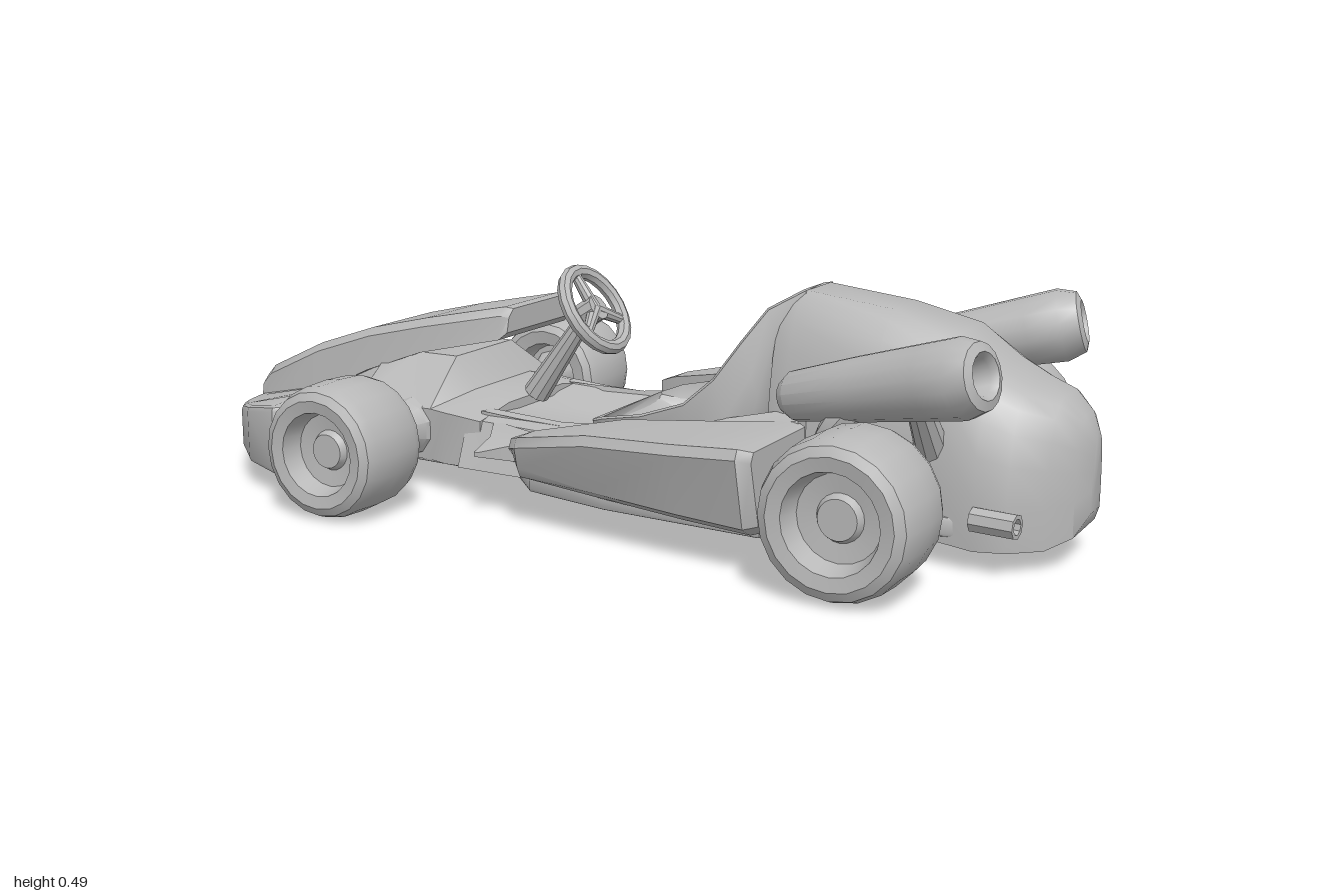
import * as THREE from 'three';
import { toCreasedNormals, mergeVertices } from 'three/addons/utils/BufferGeometryUtils.js';

const grey = new THREE.MeshStandardMaterial({ color: 0xb8b8b8, side: THREE.DoubleSide });
grey.name = 'plain grey';

const V = (x, y, z) => new THREE.Vector3(x, y, z);

// Crease the normals and make sure a closed surface faces outwards
function finish(geometry, crease = 0.6) {
  let g = geometry.index ? geometry.toNonIndexed() : geometry;
  const p = g.attributes.position;
  let volume = 0;
  const a = V(), b = V(), c = V();
  for (let i = 0; i < p.count; i += 3) {
    a.fromBufferAttribute(p, i); b.fromBufferAttribute(p, i + 1); c.fromBufferAttribute(p, i + 2);
    volume += a.dot(b.clone().cross(c));
  }
  if (volume < 0) {
    for (let i = 0; i < p.count; i += 3) {
      b.fromBufferAttribute(p, i + 1); c.fromBufferAttribute(p, i + 2);
      p.setXYZ(i + 1, c.x, c.y, c.z);
      p.setXYZ(i + 2, b.x, b.y, b.z);
    }
  }
  g.deleteAttribute('uv');
  g.deleteAttribute('normal');
  g = mergeVertices(g, 1e-5);
  return toCreasedNormals(g, crease);
}

// Closed solid through rings of [x, y, z] points, with end caps
function loft(rings) {
  const pos = [], idx = [], n = rings[0].length;
  rings.forEach(r => r.forEach(q => pos.push(...q)));
  for (let i = 0; i < rings.length - 1; i++) {
    for (let j = 0; j < n; j++) {
      const k = (j + 1) % n, a = i * n + j, b = i * n + k;
      idx.push(a, b, a + n, b, b + n, a + n);
    }
  }
  const end = (rings.length - 1) * n;
  for (let j = 1; j < n - 1; j++) {
    idx.push(0, j + 1, j);
    idx.push(end, end + j, end + j + 1);
  }
  const g = new THREE.BufferGeometry();
  g.setAttribute('position', new THREE.Float32BufferAttribute(pos, 3));
  g.setIndex(idx);
  return g;
}

// Symmetric plan outline of [x, z] points extruded upwards from y0 to y1
function plan(half, y0, y1, bevel, holes = []) {
  const pts = [...half, ...half.slice().reverse().map(([x, z]) => [x, -z])];
  const shape = new THREE.Shape(pts.map(([x, z]) => new THREE.Vector2(x, z)));
  holes.forEach(h => shape.holes.push(new THREE.Path(h.map(([x, z]) => new THREE.Vector2(x, z)))));
  const g = new THREE.ExtrudeGeometry(shape, {
    depth: y1 - y0 - 2 * bevel, bevelEnabled: bevel > 0, bevelSize: bevel,
    bevelThickness: bevel, bevelOffset: -bevel, bevelSegments: 2,
  });
  return g.rotateX(Math.PI / 2).translate(0, y1 - bevel, 0);
}

// Tapered lathe body running from a to b; the profile holds [radius, fraction]
function lathe(profile, a, b, sides = 16) {
  const d = b.clone().sub(a), len = d.length();
  const g = new THREE.LatheGeometry(profile.map(([r, t]) => new THREE.Vector2(r, t * len)), sides);
  g.applyQuaternion(new THREE.Quaternion().setFromUnitVectors(V(0, 1, 0), d.normalize()));
  return g.translate(a.x, a.y, a.z);
}
const rod = (a, b, r, r2 = r) => lathe([[0, 0], [r, 0], [r2, 1], [0, 1]], a, b, 10);

export function createModel() {
  const model = new THREE.Group();
  model.name = 'kart';
  const add = (name, g, crease) => {
    const m = new THREE.Mesh(finish(g, crease), grey);
    m.name = name;
    model.add(m);
  };

  // Flat floor that widens under the side pods
  add('floorPan', plan([[-0.8, 0.13], [-0.66, 0.14], [-0.62, 0.22], [-0.5, 0.21], [-0.32, 0.22], [-0.18, 0.23],
    [-0.1, 0.31], [0.1, 0.35], [0.46, 0.37], [0.5, 0.23], [0.85, 0.17]], 0.068, 0.11, 0.008));

  // Crescent bumper with an opening on each side, sloping down to its tip
  const hole = s => [[-0.755, 0.165 * s], [-0.765, 0.2 * s], [-0.735, 0.25 * s], [-0.685, 0.25 * s], [-0.665, 0.165 * s]];
  const bumper = plan([[-1, 0.06], [-0.975, 0.16], [-0.93, 0.245], [-0.87, 0.32], [-0.79, 0.39], [-0.68, 0.435],
    [-0.645, 0.4], [-0.685, 0.3], [-0.63, 0.265], [-0.6, 0.2]], 0.055, 0.21, 0.012, [hole(1), hole(-1)]);
  const bp = bumper.attributes.position;
  for (let i = 0; i < bp.count; i++) {
    const t = THREE.MathUtils.clamp((bp.getX(i) + 1) / 0.3, 0, 1);
    bp.setY(i, bp.getY(i) + (bp.getY(i) > 0.13 ? -0.07 : 0.018) * (1 - t));
  }
  add('frontBumper', bumper);

  // Long curved hood: [x, top, bottom, half width]
  add('hood', loft([[-0.985, 0.185, 0.12, 0.11], [-0.95, 0.215, 0.13, 0.122], [-0.8, 0.285, 0.17, 0.126],
    [-0.65, 0.335, 0.24, 0.127], [-0.5, 0.37, 0.295, 0.127], [-0.29, 0.413, 0.343, 0.124], [-0.27, 0.41, 0.36, 0.118]]
    .map(([x, t, b, w]) => [[x, b, -w - 0.012], [x, t - 0.018, -w - 0.004], [x, t, -w + 0.015],
      [x, t, w - 0.015], [x, t - 0.018, w + 0.004], [x, b, w + 0.012]])));

  // Sloping front body beneath the hood: [x, top, shoulder, half width]
  add('frontBody', loft([[-0.86, 0.2, 0.16, 0.14], [-0.67, 0.25, 0.18, 0.145], [-0.61, 0.28, 0.19, 0.235],
    [-0.53, 0.29, 0.19, 0.215], [-0.42, 0.29, 0.19, 0.215], [-0.37, 0.22, 0.19, 0.23], [-0.28, 0.2, 0.18, 0.225]]
    .map(([x, t, s, w]) => [[x, 0.075, -w], [x, s, -w], [x, t, -0.11], [x, t, 0.11], [x, s, w], [x, 0.075, w]])));

  // Dished footwell between the front body and the seat: [x, middle height, edge height]
  add('footwell', loft([[-0.3, 0.185, 0.195], [-0.2, 0.155, 0.188], [-0.08, 0.145, 0.185], [0.0, 0.13, 0.17]]
    .map(([x, m, e]) => [[x, 0.08, -0.19], [x, e, -0.19], [x, m, -0.07], [x, m, 0.07], [x, e, 0.19], [x, 0.08, 0.19]])));

  for (const s of [1, -1]) {
    const side = s > 0 ? 'left' : 'right';

    // Cockpit side rails: [x, inner z, outer z, top]
    add(side + 'Rail', loft([[-0.32, 0.13, 0.225, 0.195], [-0.1, 0.15, 0.23, 0.19], [0.1, 0.17, 0.25, 0.21],
      [0.3, 0.165, 0.24, 0.25], [0.46, 0.1, 0.21, 0.28]]
      .map(([x, i, o, t]) => [[x, 0.08, i * s], [x, t, (i + 0.025) * s], [x, t - 0.015, (o - 0.01) * s], [x, 0.08, (o + 0.03) * s]])));

    // Wedge side pods: [x, inner z, outer z, top, bottom]
    add(side + 'SidePod', loft([[-0.13, 0.315, 0.34, 0.185, 0.14], [-0.09, 0.3, 0.38, 0.2, 0.115],
      [0.1, 0.26, 0.425, 0.238, 0.095], [0.3, 0.22, 0.445, 0.25, 0.085], [0.45, 0.19, 0.458, 0.262, 0.08], [0.475, 0.2, 0.44, 0.255, 0.085]]
      .map(([x, i, o, t, b]) => [[x, b, i * s], [x, t, i * s], [x, t, (o - 0.01) * s], [x, t - 0.02, o * s],
        [x, b + 0.02, (o - 0.035 * (x > 0 ? 1 : 0.3)) * s], [x, b, (o - 0.07 * (x > 0 ? 1 : 0.3)) * s]])));

    // Wheels with recessed rims, on flared axles
    for (const [end, x, y, z, r, w] of [['Front', -0.48, 0.15, 0.44, 0.144, 0.097], ['Rear', 0.665, 0.165, 0.416, 0.157, 0.1]]) {
      const profile = [[0, -0.5], [0.5, -0.5], [0.58, -0.95], [0.8, -1], [0.92, -0.9], [0.98, -0.65], [1, 0],
        [0.98, 0.65], [0.92, 0.9], [0.8, 1], [0.62, 0.95], [0.54, 0.5], [0.3, 0.45], [0.25, 0.6], [0, 0.6]];
      const g = new THREE.LatheGeometry(profile.map(([a, b]) => new THREE.Vector2(a * r, b * w)), 20);
      add(side + end + 'Wheel', g.rotateX(s * Math.PI / 2).translate(x, y, z * s));
      add(side + end + 'Axle', lathe([[0, 0], [0.075, 0], [0.06, 0.25], [0.032, 0.5], [0.03, 0.7], [0.06, 1], [0, 1]],
        V(x, y - 0.01, 0.17 * s), V(x, y, (z - w * 0.5) * s), 10));
    }
    add(side + 'RearStrut', rod(V(0.74, 0.1, 0.15 * s), V(0.7, 0.14, 0.32 * s), 0.025));

    // Flared exhaust with an open mouth, its header and bracket
    add(side + 'Exhaust', lathe([[0, 0], [0.035, 0.01], [0.05, 0.06], [0.063, 0.4], [0.073, 0.75], [0.077, 0.9], [0.064, 0.985],
      [0.045, 1], [0.036, 0.97], [0.03, 0.85], [0, 0.85]], V(0.44, 0.315, 0.218 * s), V(0.875, 0.42, 0.31 * s)));
    const bend = new THREE.CatmullRomCurve3([V(0.62, 0.34, 0.25 * s), V(0.56, 0.27, 0.255 * s), V(0.54, 0.21, 0.235 * s), V(0.6, 0.17, 0.17 * s)]);
    add(side + 'ExhaustHeader', new THREE.TubeGeometry(bend, 10, 0.032, 8));
    add(side + 'ExhaustBracket', rod(V(0.72, 0.37, 0.26 * s), V(0.72, 0.22, 0.14 * s), 0.022, 0.035));
    add(side + 'TailPipe', lathe([[0, 0], [0.025, 0], [0.025, 1], [0.016, 1], [0.016, 0.6], [0, 0.6]],
      V(0.82, 0.115, 0.19 * s), V(0.91, 0.115, 0.2 * s), 8));
  }

  // Pointed fin ahead of the left pod
  add('sideFin', loft([[[-0.26, 0.1, 0.2], [-0.26, 0.18, 0.2], [-0.1, 0.18, 0.26], [-0.1, 0.1, 0.26]],
    [[-0.21, 0.13, 0.29], [-0.21, 0.17, 0.29], [-0.12, 0.17, 0.31], [-0.12, 0.13, 0.31]],
    [[-0.21, 0.14, 0.35], [-0.21, 0.15, 0.35], [-0.2, 0.15, 0.35], [-0.2, 0.14, 0.35]]]));

  // Bucket seat: [centre x, centre y, rim x, rim y, rim half width]
  const rows = [[-0.05, 0.19, -0.04, 0.2, 0.15], [-0.01, 0.145, 0, 0.215, 0.18], [0.1, 0.125, 0.1, 0.235, 0.195], [0.22, 0.13, 0.2, 0.27, 0.195],
    [0.31, 0.17, 0.26, 0.325, 0.18], [0.345, 0.27, 0.305, 0.4, 0.145], [0.375, 0.4, 0.345, 0.465, 0.105], [0.405, 0.495, 0.4, 0.5, 0.05]];
  const shell = (inset) => rows.map(([cx, cy, rx, ry, w]) => Array.from({ length: 15 }, (_, j) => {
    const v = j / 7 - 1, k = Math.pow(Math.abs(v), 4);
    return [cx + (rx - cx) * k + inset * 0.6, cy + (ry - cy) * k - inset * (1 - k), Math.sin(v * Math.PI / 2) * (w + inset)];
  }));
  const outer = shell(0.018), inner = shell(0);
  add('seat', loft(inner.map((r, i) => [...r, ...outer[i].reverse()])), 0.8);

  // Engine cowl and pointed tail: [x, top, bottom, half width]
  add('rearCowl', loft([[0.37, 0.48, 0.07, 0.15], [0.41, 0.5, 0.065, 0.162], [0.6, 0.478, 0.06, 0.168], [0.74, 0.445, 0.055, 0.175],
    [0.82, 0.385, 0.05, 0.188], [0.88, 0.355, 0.05, 0.17], [0.94, 0.335, 0.052, 0.125], [0.98, 0.3, 0.07, 0.075], [1, 0.26, 0.11, 0.03]]
    .map(([x, t, b, w]) => {
      const half = [[1, 0], [1.02, 0.3], [0.97, 0.55], [0.87, 0.74], [0.74, 0.88], [0.56, 0.96], [0.36, 1]]
        .map(([k, h]) => [x, b + (t - b) * h, k * w]);
      return [...half, ...half.slice().reverse().map(([a, y, z]) => [a, y, -z])];
    })), 0.7);

  // Steering wheel, hub, spokes and column
  const hub = V(-0.125, 0.405, 0), axis = V(-0.84, -0.54, 0).normalize();
  const turn = new THREE.Quaternion().setFromUnitVectors(V(0, 0, 1), axis);
  const ring = new THREE.TorusGeometry(0.094, 0.016, 8, 20).applyQuaternion(turn);
  add('steeringWheel', ring.translate(hub.x, hub.y, hub.z));
  for (let i = 0; i < 3; i++) {
    const t = i * Math.PI * 2 / 3;
    const tip = V(Math.cos(t) * 0.09, Math.sin(t) * 0.09, 0).applyQuaternion(turn).add(hub);
    add('steeringSpoke', rod(hub, tip, 0.016, 0.011));
  }
  add('steeringHub', rod(hub.clone().addScaledVector(axis, -0.012), hub.clone().addScaledVector(axis, 0.03), 0.03));
  add('steeringColumn', rod(hub.clone().addScaledVector(axis, 0.02), V(-0.28, 0.2, 0), 0.018, 0.03));

  return model;
}
